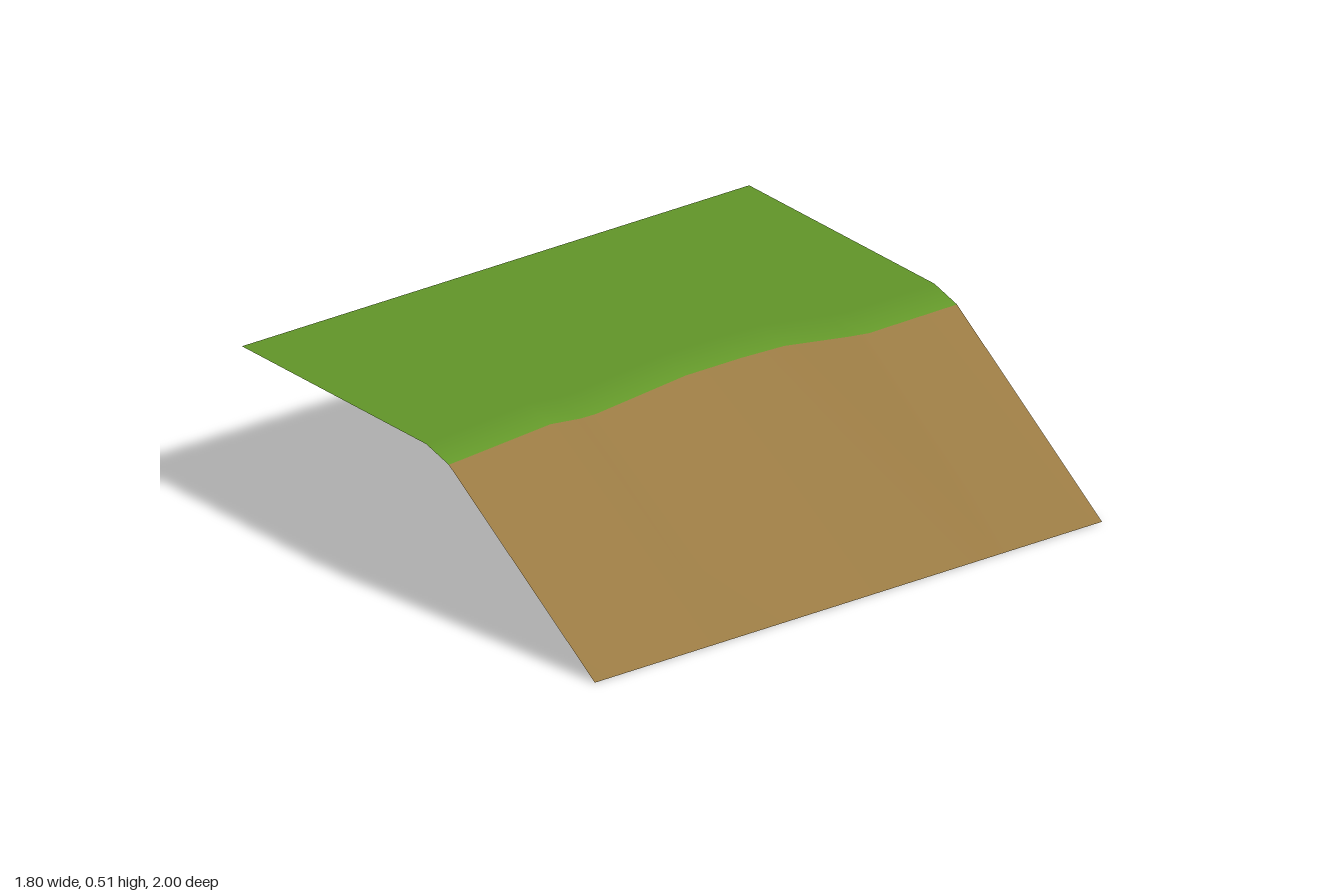
import * as THREE from 'three';

// Wavy cliff edge as (z, x of the grass lip's lower edge)
const EDGE = [
  [-1, 0.16], [-0.65, 0.165], [-0.59, 0.15], [-0.38, 0.08], [-0.22, 0.07],
  [0, 0.07], [0.4, 0.13], [0.46, 0.128], [0.56, 0.105], [1, 0.155],
];
const TOP = 0.51, LIP = 0.48, LIP_WIDTH = 0.115, SIDE = 0.9;

// Sheet through one row of points [x, y, z] per edge station, facing up
function sheet(rowAt) {
  const rows = EDGE.map(([z, x]) => rowAt(x, z));
  const n = rows[0].length, index = [];
  for (let i = 0; i < rows.length - 1; i++) {
    for (let j = 0; j < n - 1; j++) {
      const a = i * n + j, b = a + 1, c = a + n, d = c + 1;
      index.push(a, c, b, b, c, d);
    }
  }
  const geometry = new THREE.BufferGeometry();
  geometry.setAttribute('position', new THREE.Float32BufferAttribute(rows.flat(2), 3));
  geometry.setIndex(index);
  geometry.computeVertexNormals();
  return geometry;
}

export function createModel() {
  const group = new THREE.Group();
  group.name = 'grassySlope';
  const grass = new THREE.MeshStandardMaterial({ color: 0x629629, side: THREE.DoubleSide });
  grass.name = 'grass green';
  const earth = new THREE.MeshStandardMaterial({ color: 0x997a43, side: THREE.DoubleSide });
  earth.name = 'earth brown';

  // Earth bank falling from the lip to the ground
  const bank = sheet((x, z) => [[x, LIP, z], [SIDE, 0, z]]);

  // Flat grass with a bent lip
  const turf = sheet((x, z) => [[-SIDE, TOP, z], [x - LIP_WIDTH, TOP, z], [x, LIP, z]]);

  // Shade the lip smoothly from level ground into the bank
  const normals = turf.attributes.normal, bankNormals = bank.attributes.normal;
  EDGE.forEach((_, i) => {
    normals.setXYZ(i * 3, 0, 1, 0);
    normals.setXYZ(i * 3 + 1, 0, 1, 0);
    normals.setXYZ(i * 3 + 2, bankNormals.getX(i * 2), bankNormals.getY(i * 2), bankNormals.getZ(i * 2));
  });

  const parts = { grassTop: [turf, grass], earthBank: [bank, earth] };
  for (const [name, [geometry, material]] of Object.entries(parts)) {
    const mesh = new THREE.Mesh(geometry, material);
    mesh.name = name;
    group.add(mesh);
  }
  return group;
}
